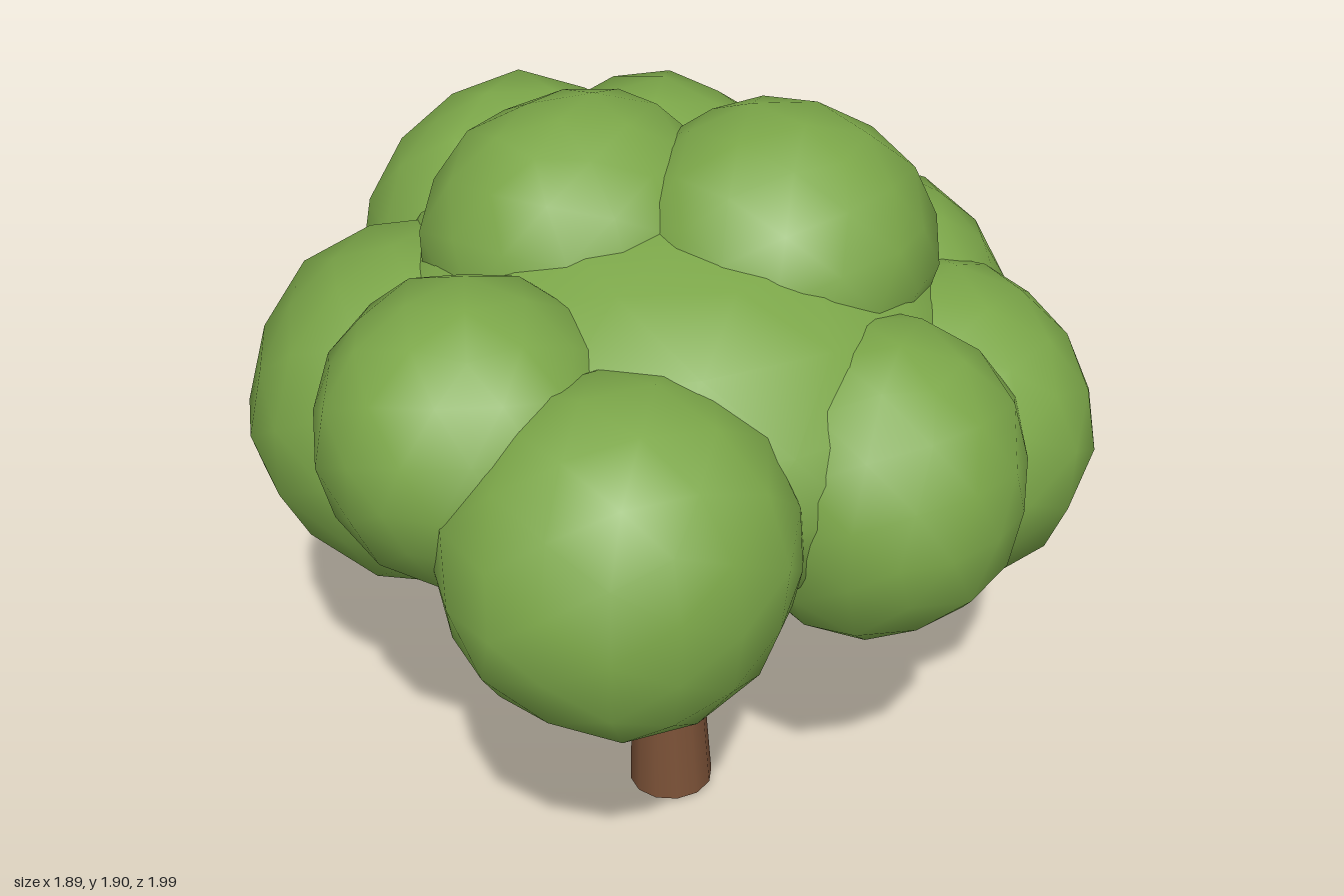
import * as THREE from 'three';
import { mergeVertices } from 'three/addons/utils/BufferGeometryUtils.js';

const leafGreen = new THREE.MeshStandardMaterial({ color: 0x7ca749 });
leafGreen.name = 'leafGreen';
const barkBrown = new THREE.MeshStandardMaterial({ color: 0x795036 });
barkBrown.name = 'barkBrown';

// Small seeded random generator
function seeded(seed) {
  let s = seed * 7919 + 17;
  return () => (s = (s * 16807) % 2147483647) / 2147483647;
}

// Lumpy, smooth-shaded ball of leaves
function leafClump(name, [x, y, z], [rx, ry, rz], seed) {
  let geo = new THREE.IcosahedronGeometry(1, 2);
  geo.deleteAttribute('uv');
  geo.deleteAttribute('normal');
  geo = mergeVertices(geo, 1e-3);
  const rand = seeded(seed);
  rand();
  const p = geo.attributes.position;
  for (let i = 0; i < p.count; i++) {
    const k = 0.975 + rand() * 0.06;
    p.setXYZ(i, p.getX(i) * k, p.getY(i) * k, p.getZ(i) * k);
  }
  geo.rotateY(seed * 1.3);
  geo.scale(rx, ry, rz);
  geo.computeVertexNormals();
  const mesh = new THREE.Mesh(geo, leafGreen);
  mesh.name = name;
  mesh.position.set(x, y, z);
  return mesh;
}

// Tapered round limb between two points
function limb(name, from, to, r0, r1) {
  const a = new THREE.Vector3(...from);
  const b = new THREE.Vector3(...to);
  const dir = b.clone().sub(a);
  const mesh = new THREE.Mesh(new THREE.CylinderGeometry(r1, r0, dir.length(), 12), barkBrown);
  mesh.name = name;
  mesh.position.copy(a).add(b).multiplyScalar(0.5);
  mesh.quaternion.setFromUnitVectors(new THREE.Vector3(0, 1, 0), dir.normalize());
  return mesh;
}

export function createModel() {
  const tree = new THREE.Group();
  tree.name = 'tree';

  // Leaning trunk and the two branches that vanish into the leaves
  tree.add(
    limb('trunk', [0.012, 0.006, 0.098], [0.01, 1.0, 0.045], 0.108, 0.058),
    limb('leftBranch', [0.04, 0.73, 0.02], [0.16, 0.92, -0.17], 0.048, 0.036),
    limb('rightBranch', [-0.03, 0.73, 0.08], [-0.17, 0.9, 0.13], 0.046, 0.036),
  );

  // Crown: a wide core ringed and topped by smaller clumps
  const crown = new THREE.Group();
  crown.name = 'crown';
  const clumps = [
    ['coreClump', [0, 1.265, 0.065], [0.73, 0.47, 0.745]],
    ['backClump', [0.09, 1.28, -0.605], [0.425, 0.42, 0.4]],
    ['backLeftClump', [0.43, 1.21, -0.49], [0.415, 0.435, 0.43]],
    ['leftClump', [0.55, 1.2, 0.125], [0.4, 0.4, 0.4]],
    ['frontLeftClump', [0.47, 1.135, 0.48], [0.4, 0.385, 0.4]],
    ['frontClump', [0.145, 1.2, 0.63], [0.35, 0.38, 0.375]],
    ['frontRightClump', [-0.48, 1.21, 0.52], [0.41, 0.4, 0.4]],
    ['rightClump', [-0.6, 1.37, 0.15], [0.35, 0.34, 0.355]],
    ['backRightClump', [-0.395, 1.135, -0.3], [0.44, 0.43, 0.47]],
    ['topBackClump', [-0.1, 1.56, -0.12], [0.37, 0.34, 0.355]],
    ['topFrontClump', [0.22, 1.555, 0.2], [0.38, 0.345, 0.365]],
  ];
  clumps.forEach(([name, centre, radii], i) => crown.add(leafClump(name, centre, radii, i + 1)));
  tree.add(crown);
  return tree;
}
